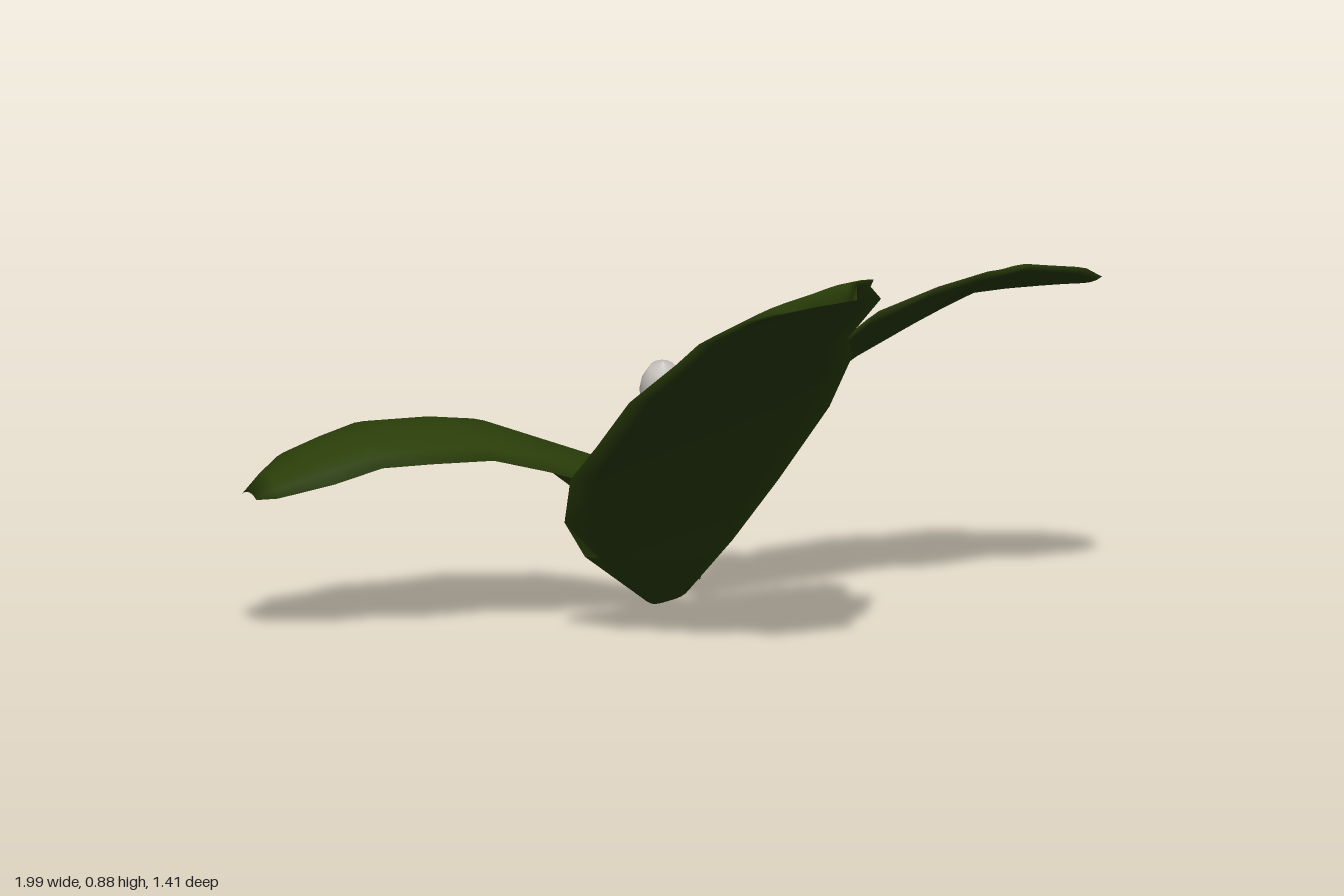
import * as THREE from 'three';
import { mergeVertices } from 'three/addons/utils/BufferGeometryUtils.js';

const leafGreen = new THREE.MeshStandardMaterial({ color: 0x2a3e09, side: THREE.DoubleSide });
leafGreen.name = 'leaf green';
const budWhite = new THREE.MeshStandardMaterial({ color: 0xcbc6c0 });
budWhite.name = 'bud white';

// Each row is one cross-section from base to tip: left edge xyz, right edge xyz.
const FRONT = [
  [.01, .03, -.46, .08, .05, -.47],
  [-.03, .01, -.40, .08, .03, -.40],
  [-.27, .15, -.26, .16, .14, -.35],
  [-.38, .25, -.16, .23, .28, -.27],
  [-.44, .37, -.03, .28, .46, -.13],
  [-.45, .46, .10, .24, .60, .04],
  [-.475, .59, .29, .15, .67, .18],
  [-.43, .69, .42, .14, .78, .34],
  [-.43, .75, .52, .05, .83, .45],
  [-.36, .805, .60, 0, .865, .55],
  [-.34, .83, .68, -.09, .875, .63],
  [-.29, .84, .705, -.13, .85, .70],
];
const LEFT = [
  [.10, .05, -.39, .11, .05, -.53],
  [.10, .20, -.32, .15, .07, -.58],
  [.13, .42, -.19, .22, .13, -.63],
  [.27, .60, -.10, .32, .22, -.66],
  [.39, .67, -.10, .44, .32, -.70],
  [.50, .725, -.03, .61, .45, -.66],
  [.64, .745, -.05, .68, .52, -.58],
  [.73, .76, -.005, .80, .61, -.53],
  [.88, .735, -.03, .85, .64, -.42],
  [.96, .70, -.10, .95, .66, -.35],
  [.99, .69, -.19, .985, .685, -.24],
];
const RIGHT = [
  [.07, .05, -.50, .06, .05, -.42],
  [.05, .12, -.52, -.02, .12, -.36],
  [-.06, .22, -.64, -.07, .21, -.28],
  [-.14, .29, -.69, -.15, .28, -.20],
  [-.38, .385, -.71, -.40, .36, -.19],
  [-.50, .395, -.68, -.52, .39, -.23],
  [-.66, .395, -.69, -.68, .395, -.23],
  [-.77, .38, -.64, -.77, .385, -.29],
  [-.86, .355, -.63, -.88, .355, -.31],
  [-.93, .335, -.57, -.98, .32, -.39],
  [-.985, .31, -.54, -1, .31, -.45],
];
const SMALL = [
  [.10, .01, -.57, .13, .01, -.58],
  [.06, .10, -.54, .18, .10, -.64],
  [.05, .25, -.52, .21, .25, -.66],
  [.06, .38, -.51, .24, .38, -.66],
  [.14, .45, -.47, .31, .44, -.61],
  [.26, .48, -.40, .37, .46, -.47],
  [.33, .48, -.39, .36, .47, -.41],
];

// Leaf blade: a thin closed lens over the cross-sections, arched by dome,
// with top and bottom skins sharing a soft rim.
function leaf(name, rows, dome, thickness) {
  const cols = 10, pos = [], idx = [];
  for (const side of [1, -1]) {
    const start = pos.length / 3;
    rows.forEach((r, i) => {
      const width = Math.hypot(r[3] - r[0], r[4] - r[1], r[5] - r[2]);
      const isEnd = i === 0 || i === rows.length - 1;
      const half = isEnd ? 0 : side * thickness / 2;
      for (let j = 0; j <= cols; j++) {
        const t = j / cols, u = 2 * t - 1;
        const lift = dome * Math.min(1, width / 0.4) * (1 - u * u) + half * (1 - u ** 4);
        pos.push(
          r[0] + (r[3] - r[0]) * t,
          r[1] + (r[4] - r[1]) * t + lift,
          r[2] + (r[5] - r[2]) * t,
        );
        if (i && j) {
          const d = start + i * (cols + 1) + j, c = d - 1, b = d - cols - 1, a = b - 1;
          if (side > 0) idx.push(a, c, b, b, c, d);
          else idx.push(a, b, c, b, d, c);
        }
      }
    });
  }
  let g = new THREE.BufferGeometry();
  g.setAttribute('position', new THREE.Float32BufferAttribute(pos, 3));
  g.setIndex(idx);
  g = mergeVertices(g);
  g.computeVertexNormals();
  const m = new THREE.Mesh(g, leafGreen);
  m.name = name;
  return m;
}

// Thin stalk along a smooth curve.
function stalk(name, points, radius) {
  const curve = new THREE.CatmullRomCurve3(points.map(p => new THREE.Vector3(...p)));
  const m = new THREE.Mesh(new THREE.TubeGeometry(curve, 12, radius, 8), leafGreen);
  m.name = name;
  return m;
}

export function createModel() {
  const model = new THREE.Group();
  model.name = 'plant';
  model.add(
    leaf('frontLeaf', FRONT, 0, 0.026),
    leaf('leftLeaf', LEFT, 0, 0.026),
    leaf('rightLeaf', RIGHT, 0.045, 0.026),
    leaf('smallLeaf', SMALL, 0.01, 0.012),
  );

  // Flower stem rising from the crown, with a short stalk to the small leaf
  model.add(
    stalk('flowerStem', [[.07, .04, -.49], [.06, .15, -.48], [.03, .29, -.43], [-.023, .415, -.353]], 0.01),
    stalk('smallLeafStalk', [[.07, .045, -.49], [.095, .03, -.53], [.115, .025, -.575]], 0.009),
  );

  // Closed bud leaning forward, with a green cup below it
  const bud = new THREE.Group();
  bud.name = 'bud';
  bud.position.set(-.023, .413, -.353);
  bud.quaternion.setFromUnitVectors(
    new THREE.Vector3(0, 1, 0), new THREE.Vector3(-.2, .8, .4).normalize());
  const lathe = (name, profile, material) => {
    const m = new THREE.Mesh(
      new THREE.LatheGeometry(profile.map(p => new THREE.Vector2(...p)), 14), material);
    m.name = name;
    bud.add(m);
  };
  lathe('petals', [[0, .02], [.03, .03], [.045, .06], [.05, .095], [.045, .13], [.03, .16], [0, .178]], budWhite);
  lathe('budCup', [[.008, -.01], [.026, .005], [.041, .03], [.048, .055]], leafGreen);
  model.add(bud);

  return model;
}
